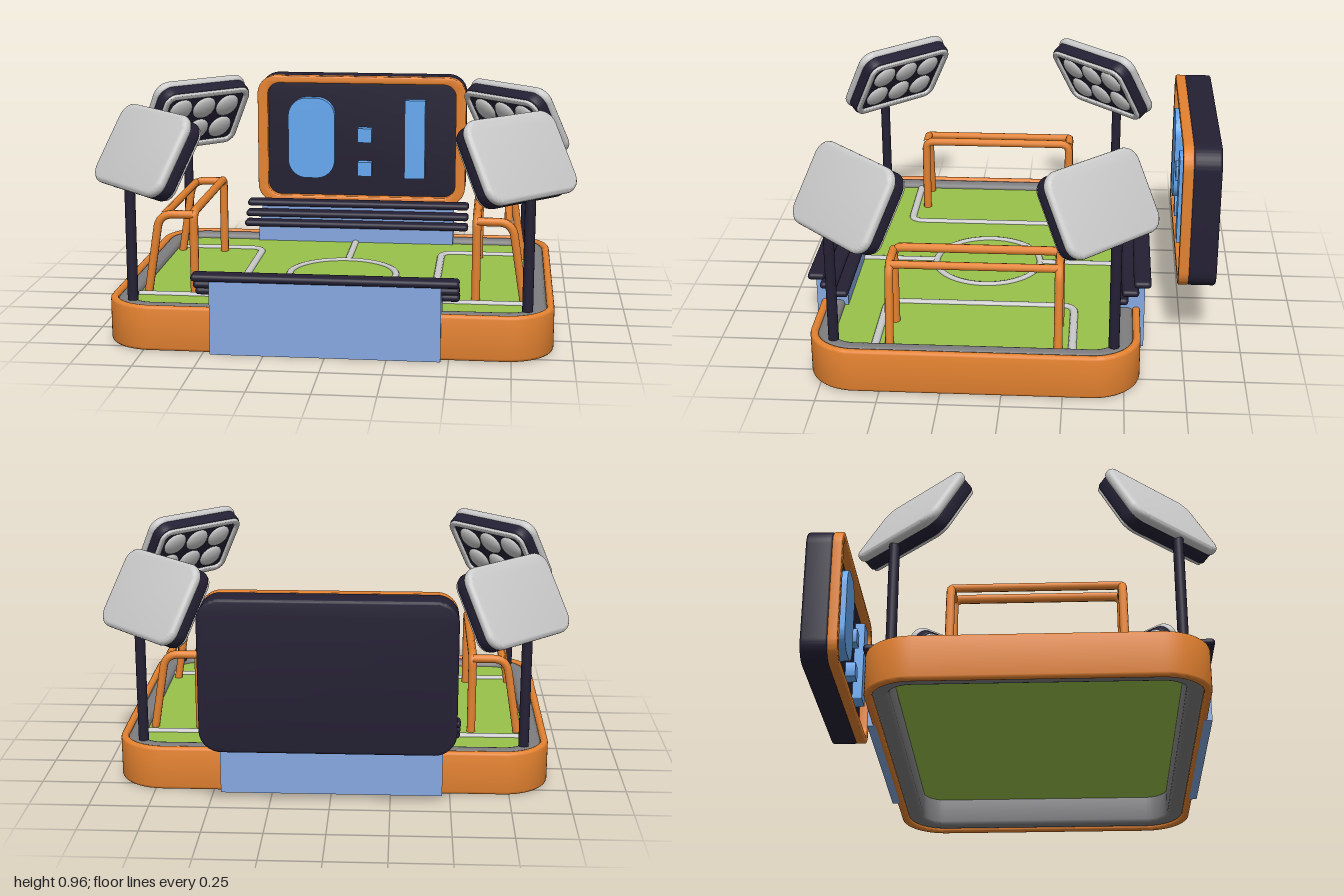
import * as THREE from 'three';
import { toCreasedNormals } from 'three/addons/utils/BufferGeometryUtils.js';
import { RoundedBoxGeometry } from 'three/addons/geometries/RoundedBoxGeometry.js';

const mat = (color) => new THREE.MeshStandardMaterial({ color });
const GREY = mat(0xcccccc), ORANGE = mat(0xe48230), NAVY = mat(0x242034), SLATE = mat(0x7e7e80);
const GREEN = mat(0x99c24a), BLUE = mat(0x85a8e2), LIGHT = mat(0x66a8f2);
const CZ = 0.12; // z of the pitch centre
const V = (x, y, z) => new THREE.Vector3(x, y, z);

function add(parent, name, geometry, material, x = 0, y = 0, z = 0) {
  const mesh = new THREE.Mesh(geometry, material);
  mesh.name = name;
  mesh.position.set(x, y, z);
  parent.add(mesh);
  return mesh;
}

// Rounded rectangle outline centred on the origin
function outline(path, w, h, r) {
  const x = w / 2, y = h / 2;
  path.moveTo(x, y - r);
  path.absarc(x - r, y - r, r, 0, Math.PI / 2);
  path.absarc(-x + r, y - r, r, Math.PI / 2, Math.PI);
  path.absarc(-x + r, -y + r, r, Math.PI, Math.PI * 1.5);
  path.absarc(x - r, -y + r, r, Math.PI * 1.5, Math.PI * 2);
  path.closePath();
  return path;
}

// Slab in the xy plane, z from 0 to depth, with bevelled edges and optional hole [w, h, r]
function slab(w, h, r, depth, bevel, hole) {
  const shape = outline(new THREE.Shape(), w - 2 * bevel, h - 2 * bevel, r - bevel);
  if (hole) {
    shape.holes.push(outline(new THREE.Path(), hole[0] + 2 * bevel, hole[1] + 2 * bevel, hole[2] + bevel));
  }
  const geo = new THREE.ExtrudeGeometry(shape, {
    depth: depth - 2 * bevel, bevelEnabled: bevel > 0, bevelSize: bevel,
    bevelThickness: bevel, bevelSegments: 3, curveSegments: 10,
  });
  geo.translate(0, 0, bevel);
  return toCreasedNormals(geo, 0.6);
}

// Straight segments joined by small rounded bends
function tube(points, bend, radius) {
  const path = new THREE.CurvePath();
  let from = points[0];
  for (let i = 1; i < points.length; i++) {
    const p = points[i];
    if (i === points.length - 1) {
      path.add(new THREE.LineCurve3(from, p));
      break;
    }
    const a = p.clone().add(points[i - 1].clone().sub(p).setLength(bend));
    const b = p.clone().add(points[i + 1].clone().sub(p).setLength(bend));
    path.add(new THREE.LineCurve3(from, a));
    path.add(new THREE.QuadraticBezierCurve3(a, p, b));
    from = b;
  }
  return new THREE.TubeGeometry(path, 64, radius, 10);
}

function buildPitch() {
  const pitch = new THREE.Group();
  pitch.name = 'pitch';
  const flat = (name, geo, material, y) => add(pitch, name, geo.rotateX(-Math.PI / 2), material, 0, y, CZ);
  flat('baseRim', slab(1.845, 1.37, 0.2, 0.19, 0.014, [1.78, 1.305, 0.17]), ORANGE, 0);
  flat('innerBorder', slab(1.785, 1.31, 0.172, 0.172, 0.02, [1.65, 1.17, 0.1]), SLATE, 0.013);
  flat('grass', slab(1.68, 1.2, 0.12, 0.02, 0), GREEN, 0.142);
  // Field markings
  const lines = new THREE.Group();
  lines.name = 'markings';
  lines.position.set(0, 0.162, CZ);
  lines.scale.y = 0.7;
  pitch.add(lines);
  add(lines, 'centreLineFront', tube([V(0, 0, 0.235), V(0, 0, 0.585)], 0, 0.016), GREY);
  add(lines, 'centreLineBack', tube([V(0, 0, -0.585), V(0, 0, -0.235)], 0, 0.016), GREY);
  add(lines, 'centreCircle', new THREE.TorusGeometry(0.237, 0.015, 8, 48).rotateX(Math.PI / 2), GREY);
  for (const s of [-1, 1]) {
    const box = [V(s * 0.83, 0, -0.405), V(s * 0.422, 0, -0.405), V(s * 0.422, 0, 0.405), V(s * 0.83, 0, 0.405)];
    add(lines, 'penaltyBox', tube(box, 0.06, 0.017), GREY);
  }
  return pitch;
}

function buildGoal(s) {
  const goal = new THREE.Group();
  goal.name = s > 0 ? 'leftGoal' : 'rightGoal';
  goal.position.z = CZ;
  const z = 0.347, x = s * 0.598;
  add(goal, 'goalFrame', tube([V(x, 0.15, -z), V(x, 0.507, -z), V(x, 0.507, z), V(x, 0.15, z)], 0.035, 0.019), ORANGE);
  for (const side of [-z, z]) {
    const stay = [V(x, 0.497, side), V(s * 0.745, 0.497, side), V(s * 0.8, 0.15, side)];
    add(goal, 'goalStay', tube(stay, 0.06, 0.018), ORANGE);
  }
  add(goal, 'backBar', tube([V(s * 0.728, 0.49, -z), V(s * 0.728, 0.49, z)], 0, 0.017), ORANGE);
  return goal;
}

function buildStand(s) {
  const stand = new THREE.Group();
  stand.name = s > 0 ? 'frontStand' : 'backStand';
  stand.position.z = CZ;
  stand.rotation.y = s > 0 ? 0 : Math.PI;
  // Stepped side profile: first number is distance from the pitch centre, second is height
  const profile = [[0.705, 0], [0.705, 0.31], [0.67, 0.31], [0.67, 0.27], [0.615, 0.27], [0.615, 0.23],
    [0.57, 0.23], [0.57, 0.15], [0.67, 0.15], [0.67, 0]];
  const shape = new THREE.Shape(profile.map(([a, b]) => new THREE.Vector2(-a, b)));
  const body = new THREE.ExtrudeGeometry(shape, { depth: 0.936, bevelEnabled: false });
  body.translate(0, 0, -0.468).rotateY(Math.PI / 2);
  add(stand, 'standBody', body, BLUE);
  [[0.692, 0.325], [0.642, 0.283], [0.597, 0.244]].forEach(([z, y]) => {
    add(stand, 'bench', new RoundedBoxGeometry(1.08, 0.03, 0.074, 3, 0.0145), NAVY, 0, y, z);
  });
  return stand;
}

function buildFloodlight(sx, sz) {
  const light = new THREE.Group();
  light.name = 'floodlight';
  add(light, 'pole', new THREE.CylinderGeometry(0.022, 0.022, 0.51, 16), NAVY, sx * 0.812, 0.405, CZ + sz * 0.575);
  // Head faces the pitch and tilts down
  const head = new THREE.Group();
  head.name = 'lampHead';
  const tilt = 0.54, c = Math.cos(tilt) * Math.SQRT1_2;
  head.position.set(sx * 0.752, 0.79, CZ + sz * 0.497);
  head.lookAt(head.position.clone().add(V(-sx * c, -Math.sin(tilt), -sz * c)));
  light.add(head);
  add(head, 'backShell', slab(0.5, 0.36, 0.07, 0.044, 0.018), GREY, 0, 0, -0.052);
  add(head, 'housing', slab(0.485, 0.345, 0.065, 0.055, 0.008), NAVY, 0, 0, -0.016);
  add(head, 'frontFrame', slab(0.47, 0.33, 0.055, 0.02, 0.006, [0.415, 0.275, 0.03]), GREY, 0, 0, 0.032);
  for (const x of [-0.13, 0, 0.13]) {
    for (const y of [-0.065, 0.065]) {
      const bulb = add(head, 'bulb', new THREE.SphereGeometry(0.062, 18, 12), GREY, x, y, 0.036);
      bulb.scale.z = 0.4;
    }
  }
  return light;
}

function buildScoreboard() {
  const board = new THREE.Group();
  board.name = 'scoreboard';
  board.position.set(0, 0.61, 0);
  add(board, 'casing', slab(1.03, 0.636, 0.09, 0.12, 0.012), NAVY, 0, 0, -0.88);
  add(board, 'frame', slab(1.03, 0.636, 0.09, 0.044, 0.006, [0.93, 0.565, 0.06]), ORANGE, 0, 0, -0.764);
  // Plain lit display blocks
  const block = (name, w, h, x, y, r) => add(board, name, slab(w, h, r, 0.05, 0), LIGHT, x, y - 0.61, -0.765);
  block('wideDisplayBlock', 0.23, 0.4, -0.247, 0.62, 0.09);
  block('narrowDisplayBlock', 0.1, 0.39, 0.265, 0.62, 0.005);
  block('upperDisplayDot', 0.07, 0.07, 0.017, 0.637, 0.003);
  block('lowerDisplayDot', 0.07, 0.07, 0.017, 0.468, 0.003);
  return board;
}

export function createModel() {
  const model = new THREE.Group();
  model.name = 'stadium';
  model.add(buildPitch(), buildScoreboard());
  for (const s of [-1, 1]) {
    model.add(buildGoal(s), buildStand(s));
    for (const t of [-1, 1]) model.add(buildFloodlight(s, t));
  }
  return model;
}
